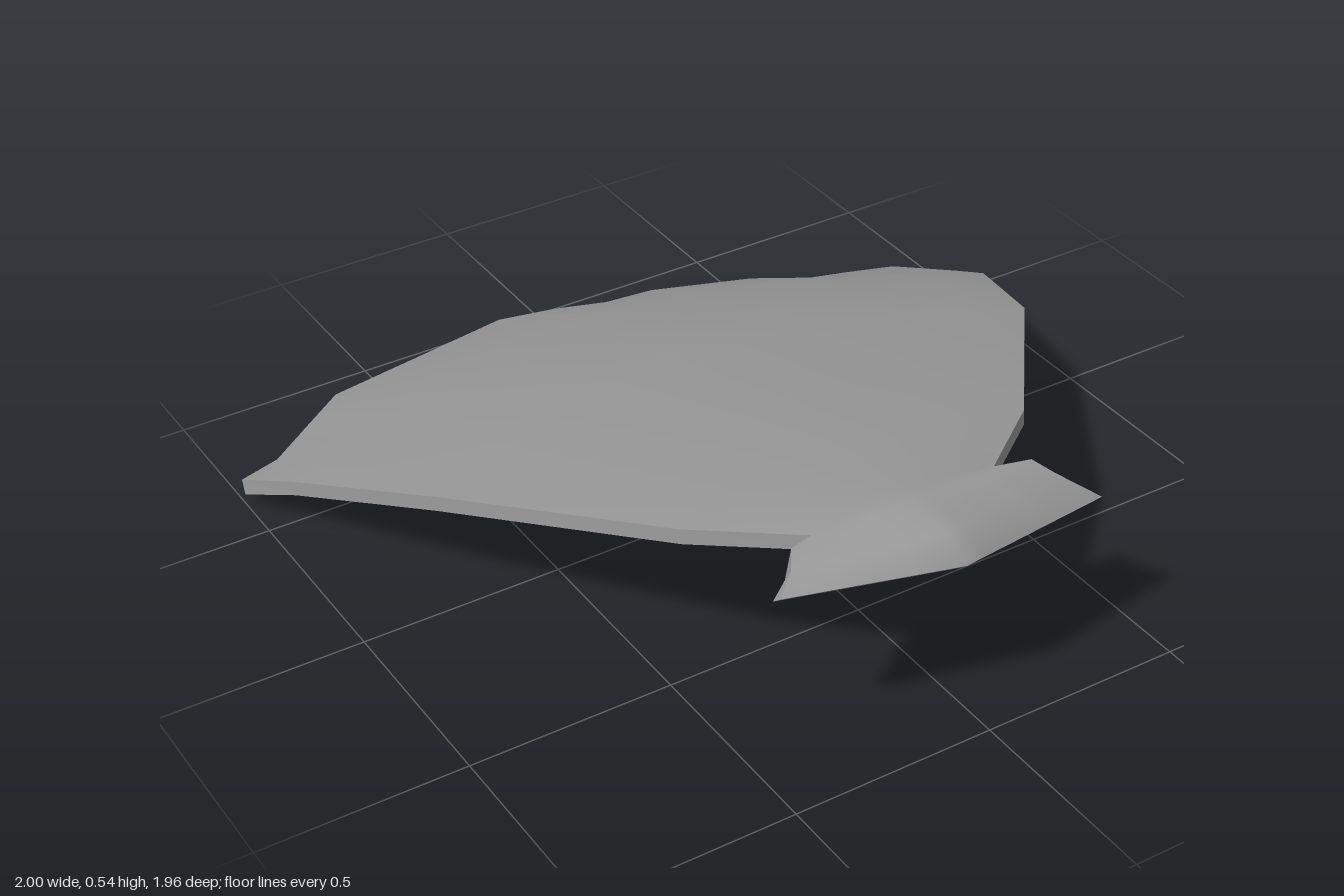
import * as THREE from 'three';

// Outline of the ragged hem, from the right side to the left: [x, z]
const hem = [[-1, -0.64], [-0.89, -0.68], [-0.75, -0.79], [-0.64, -0.875], [-0.38, -0.93], [-0.12, -0.98], [0.03, -0.95],
  [0.16, -0.905], [0.29, -0.89], [0.54, -0.79], [0.65, -0.71], [0.76, -0.67], [0.88, -0.62], [1, -0.505]];
const columns = hem.map(([x]) => (x + 1) / 2);
const crown = 0.44; // where the middle ridge runs across the width

// Cross-sections from collar to hem: end, middle, end, offset to the underside, rounded or creased
const down = [0, -0.036, 0.004];
const sections = [
  [[-0.47, 0.48, 0.89], [-0.07, 0.46, 0.98], [0.35, 0.425, 0.9], [0, -0.025, -0.03], false],
  [[-0.42, 0.507, 0.85], [-0.09, 0.525, 0.94], [0.25, 0.5, 0.855], [0, -0.038, -0.022], false],
  [[-0.38, 0.51, 0.79], [-0.1, 0.54, 0.82], [0.23, 0.51, 0.8], [0, -0.038, 0], false],
  [[-0.32, 0.51, 0.775], [-0.09, 0.532, 0.77], [0.14, 0.515, 0.785], [0, -0.036, 0.003], true],
  [[-0.5, 0.457, 0.55], [-0.07, 0.475, 0.53], [0.38, 0.457, 0.58], down, true],
  [[-0.8, 0.325, 0], [-0.06, 0.318, -0.2], [0.77, 0.333, 0.08], down, true],
  [[-0.95, 0.16, -0.44], [-0.08, 0.148, -0.72], [0.96, 0.16, -0.33], down, true],
];

function sectionPoints([left, middle, right, , rounded]) {
  const l = new THREE.Vector3(...left), r = new THREE.Vector3(...right);
  const rise = new THREE.Vector3(...middle).sub(l.clone().lerp(r, crown));
  return columns.map((u) => {
    const tent = u < crown ? u / crown : (1 - u) / (1 - crown);
    const weight = rounded ? 1 - (1 - tent) ** 2 : tent;
    return l.clone().lerp(r, u).addScaledVector(rise, weight);
  });
}

// Smooth surface through a grid of points
function sheet(rows, flip) {
  const n = columns.length, index = [];
  for (let r = 0; r < rows.length - 1; r++) {
    for (let c = 0; c < n - 1; c++) {
      const a = r * n + c, b = a + 1, d = a + n, e = d + 1;
      if (flip) index.push(a, d, b, b, d, e);
      else index.push(a, b, d, b, e, d);
    }
  }
  const geometry = new THREE.BufferGeometry().setFromPoints(rows.flat());
  geometry.setIndex(index);
  geometry.computeVertexNormals();
  return geometry;
}

// Points around the border of a grid
function border(rows) {
  const last = columns.length - 1;
  return [
    ...rows[0],
    ...rows.slice(1, -1).map((row) => row[last]),
    ...[...rows[rows.length - 1]].reverse(),
    ...rows.slice(1, -1).map((row) => row[0]).reverse(),
  ];
}

export function createModel() {
  const group = new THREE.Group();
  group.name = 'cape';
  const material = new THREE.MeshStandardMaterial({ color: 0x9a9a9a });
  const add = (name, geometry) => {
    const mesh = new THREE.Mesh(geometry, material);
    mesh.name = name;
    group.add(mesh);
  };

  // Collar and cape surface, closed by the hem
  const top = sections.map(sectionPoints);
  top.push(hem.map(([x, z]) => new THREE.Vector3(x, 0.038 + 0.028 * x * x, z)));
  const offsets = [...sections.map((s) => s[3]), [0, -0.036, 0.012]].map((o) => new THREE.Vector3(...o));
  const bottom = top.map((row, i) => row.map((p) => p.clone().add(offsets[i])));
  add('outerSurface', sheet(top, false));
  add('lining', sheet(bottom, true));

  // Hard-edged rim joining both surfaces
  const upper = border(top), lower = border(bottom), rim = [];
  upper.forEach((p, i) => {
    const j = (i + 1) % upper.length;
    rim.push(lower[i], lower[j], p, lower[j], upper[j], p);
  });
  const rimGeometry = new THREE.BufferGeometry().setFromPoints(rim);
  rimGeometry.computeVertexNormals();
  add('rim', rimGeometry);
  return group;
}
